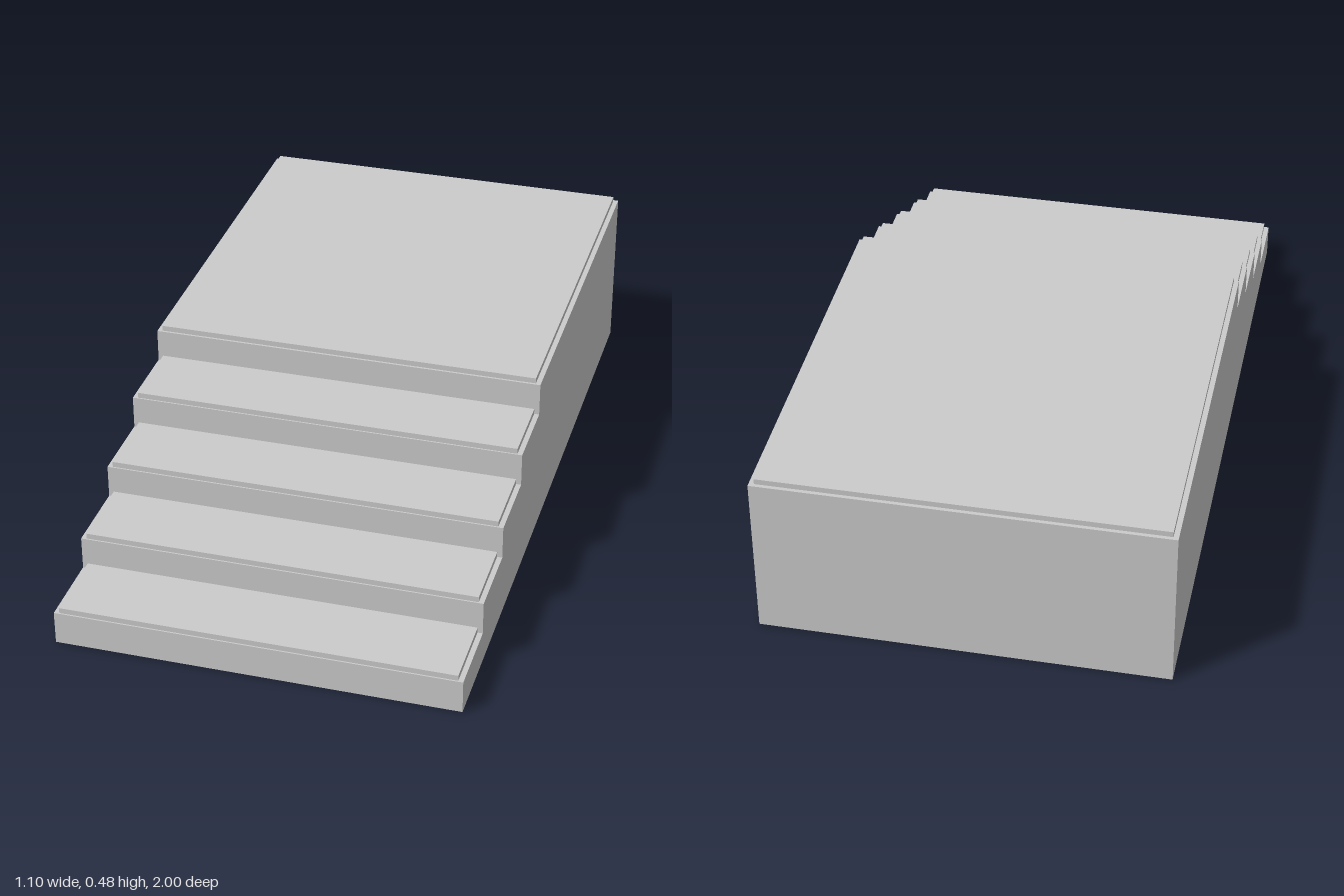
import * as THREE from 'three';

const WIDTH = 1.1, STEPS = 5, RISE = 0.0937, RUN = 0.2143;
const SLAB = 0.0155, SIDE_INSET = 0.014, FRONT_INSET = 0.004, BACK_INSET = 0.01;

export function createModel() {
  const group = new THREE.Group();
  group.name = 'steppedPlatform';
  const material = new THREE.MeshStandardMaterial({ color: 0xcccccc, flatShading: true });

  // Stepped body: side profile (z, y) extruded across the width
  const profile = new THREE.Shape();
  profile.moveTo(-1, 0);
  profile.lineTo(1, 0);
  for (let i = 0; i < STEPS; i++) {
    const front = 1 - i * RUN;
    profile.lineTo(front, (i + 1) * RISE);
    profile.lineTo(i < STEPS - 1 ? front - RUN : -1, (i + 1) * RISE);
  }
  const bodyGeometry = new THREE.ExtrudeGeometry(profile, { depth: WIDTH, bevelEnabled: false });
  bodyGeometry.translate(0, 0, -WIDTH / 2);
  bodyGeometry.rotateY(-Math.PI / 2);
  const body = new THREE.Mesh(bodyGeometry, material);
  body.name = 'body';
  group.add(body);

  // Thin inset slab on each tread and on the upper deck
  for (let i = 0; i < STEPS; i++) {
    const isDeck = i === STEPS - 1;
    const front = 1 - i * RUN - (isDeck ? BACK_INSET * 0.6 : FRONT_INSET);
    const back = isDeck ? -1 + BACK_INSET : 1 - (i + 1) * RUN;
    const slab = new THREE.Mesh(
      new THREE.BoxGeometry(WIDTH - 2 * SIDE_INSET, SLAB, front - back), material);
    slab.position.set(0, (i + 1) * RISE + SLAB / 2, (front + back) / 2);
    slab.name = isDeck ? 'deckSlab' : `treadSlab${i + 1}`;
    group.add(slab);
  }
  return group;
}
